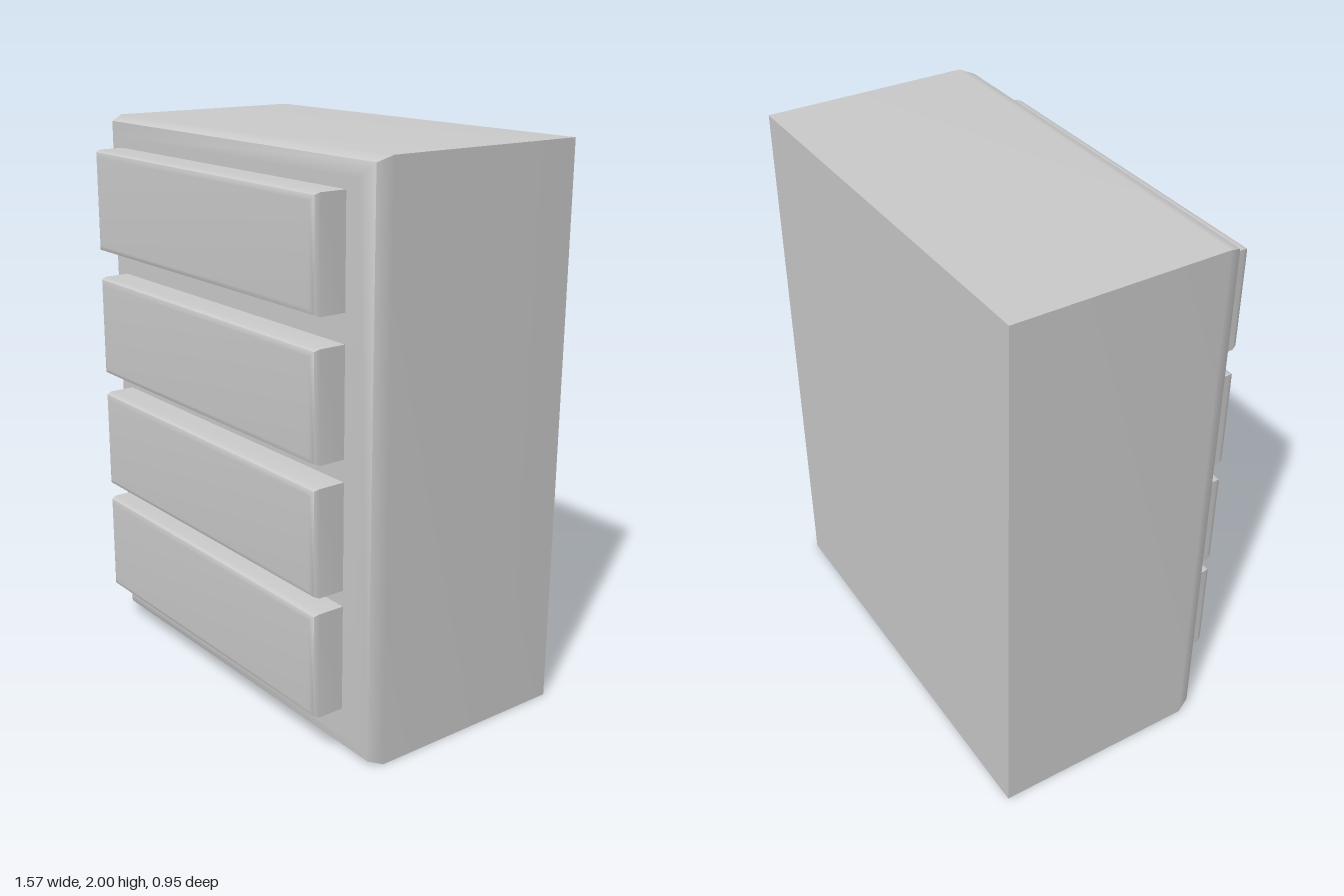
import * as THREE from 'three';
import { mergeGeometries } from 'three/addons/utils/BufferGeometryUtils.js';

const material = new THREE.MeshStandardMaterial({ color: 0xcccccc });

// Four corners of a rectangle, anticlockwise seen from the front.
function ring(w, h, [inset, z]) {
  const x = w / 2 - inset, y = h / 2 - inset;
  return [[-x, -y, z], [x, -y, z], [x, y, z], [-x, y, z]];
}

function surface(points, index) {
  const geometry = new THREE.BufferGeometry();
  geometry.setAttribute('position', new THREE.Float32BufferAttribute(points.flat(), 3));
  geometry.setIndex(index);
  geometry.computeVertexNormals();
  return geometry;
}

// Block with a softened front: profile is [inset, z] from back to front.
// The crease runs along the third ring; the other bevel steps are smooth.
function bevelledBlock(w, h, profile) {
  const [back, edge, crease, front] = profile.map(p => ring(w, h, p));
  const pieces = [surface(back, [0, 2, 1, 0, 3, 2])];
  const frontIndex = [4, 5, 6, 4, 6, 7];
  for (let i = 0; i < 4; i++) {
    const j = (i + 1) % 4;
    // side panel and its first bevel
    pieces.push(surface(
      [back[i], back[j], edge[i], edge[j], crease[i], crease[j]],
      [0, 1, 3, 0, 3, 2, 2, 3, 5, 2, 5, 4]));
    // second bevel, blended into the front face
    frontIndex.push(i, j, j + 4, i, j + 4, i + 4);
  }
  pieces.push(surface([...crease, ...front], frontIndex));
  return mergeGeometries(pieces);
}

export function createModel() {
  const group = new THREE.Group();
  group.name = 'chestOfDrawers';

  // Cabinet body
  const cabinet = new THREE.Mesh(
    bevelledBlock(1.57, 2, [[0, -0.477], [0, 0.285], [0.02, 0.336], [0.07, 0.357]]), material);
  cabinet.name = 'cabinet';
  cabinet.position.y = 1;
  group.add(cabinet);

  // Drawer fronts, bottom to top
  const drawer = bevelledBlock(1.314, 0.372,
    [[0, 0.35], [0, 0.452], [0.007, 0.47], [0.025, 0.477]]);
  [0.359, 0.787, 1.235, 1.706].forEach((y, i) => {
    const mesh = new THREE.Mesh(drawer, material);
    mesh.name = `drawer${i + 1}`;
    mesh.position.set(-0.003, y, 0);
    group.add(mesh);
  });
  return group;
}
